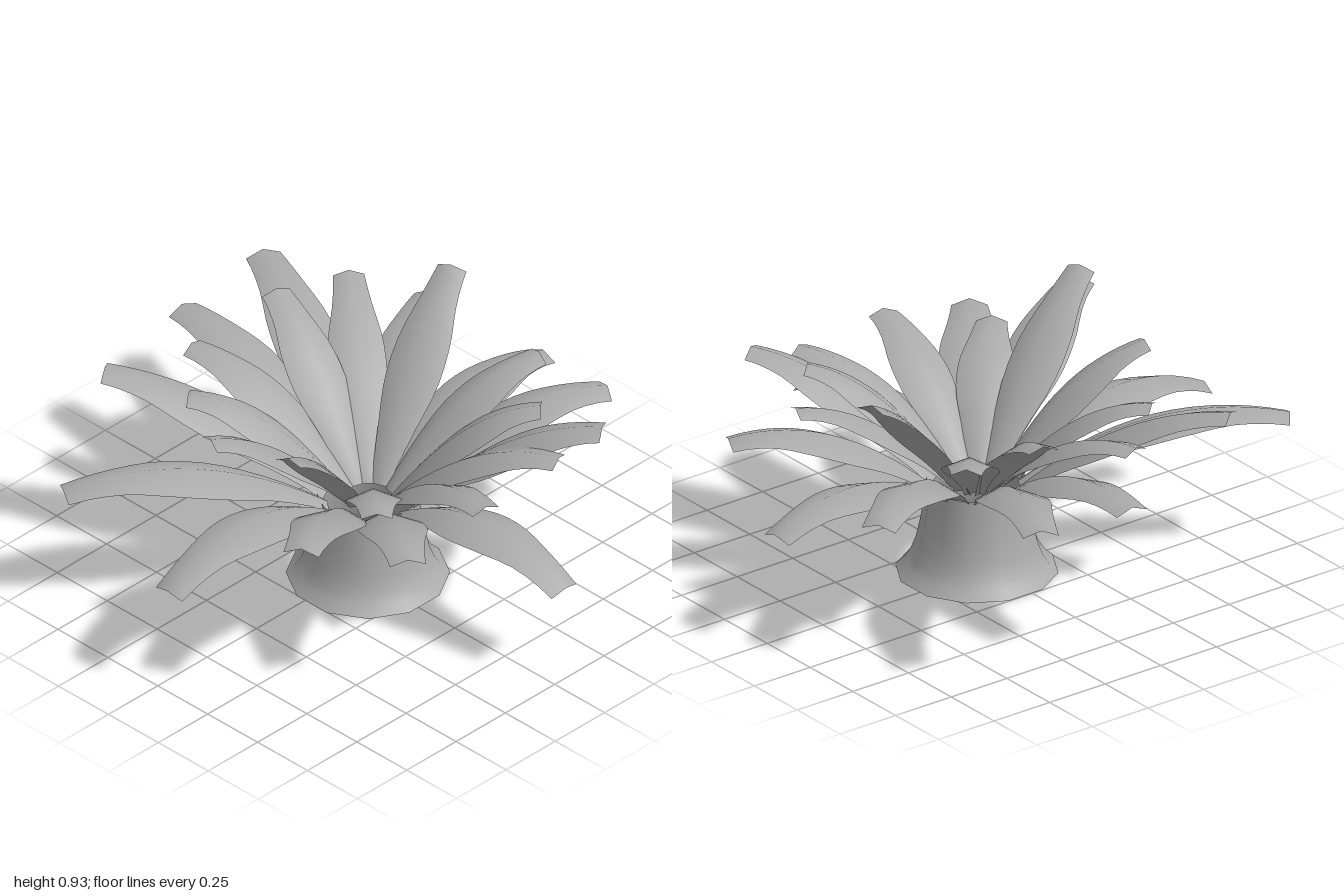
import * as THREE from 'three';

const CX = 0.04, CZ = -0.03;

// Leaf tips as [x, y, z, extra arch]
const OUTER = [
  [1.0, 0.39, -0.06, -0.015], [0.74, 0.65, 0.48, 0], [0.51, 0.74, 0.79, 0.02], [0.045, 0.435, 1.0, 0.03],
  [-0.54, 0.555, 0.935, 0], [-0.76, 0.762, 0.5, 0], [-0.965, 0.64, -0.1, 0], [-0.97, 0.67, -0.515, 0.02],
  [-0.445, 0.59, -0.845, 0.03], [-0.045, 0.445, -1.0, -0.02], [0.43, 0.6, -0.845, 0], [0.745, 0.745, -0.5, 0],
];
const INNER = [
  [0.725, 0.7, -0.3, 0], [0.5, 0.75, -0.435, 0], [0.25, 0.74, -0.68, 0], [-0.18, 0.912, -0.67, 0],
  [-0.565, 0.765, -0.54, 0], [-0.635, 0.797, -0.245, 0], [-0.7, 0.71, 0.12, 0], [-0.47, 0.725, 0.37, 0],
  [-0.145, 0.793, 0.585, 0], [0.265, 0.925, 0.61, 0], [0.505, 0.695, 0.4, 0], [0.765, 0.71, 0.11, 0],
];

// Half width from base to tip
const WIDTH = new THREE.SplineCurve([
  [0, 0.042], [0.2, 0.08], [0.4, 0.118], [0.6, 0.115], [0.8, 0.083], [1, 0.065],
].map(([t, w]) => new THREE.Vector2(t, w)));

// An arching strip, folded along a raised midrib
function leafGeometry([x, y, z, extraArch], baseRadius, widthScale) {
  const length = Math.hypot(x - CX, z - CZ);
  const dx = (x - CX) / length, dz = (z - CZ) / length;
  const bow = 0.37 - 0.25 * y + extraArch;
  const arc = new THREE.QuadraticBezierCurve(
    new THREE.Vector2(baseRadius, 0.335),
    new THREE.Vector2((baseRadius + length) / 2, (0.335 + y) / 2 + bow),
    new THREE.Vector2(length, y));
  const rows = 14, positions = [], index = [];
  for (let i = 0; i <= rows; i++) {
    const t = i / rows;
    const p = arc.getPoint(t), tan = arc.getTangent(t);
    const half = WIDTH.getPoint(t).y * widthScale;
    for (let j = -1; j <= 1; j++) {
      const drop = Math.abs(j) * half * 0.39;
      const r = p.x + tan.y * drop;
      positions.push(
        CX + dx * r - dz * half * j,
        p.y - tan.x * drop,
        CZ + dz * r + dx * half * j);
    }
    if (i === rows) continue;
    for (let j = 0; j < 2; j++) {
      const a = i * 3 + j, b = a + 1, c = a + 3, d = a + 4;
      index.push(a, b, c, b, d, c);
    }
  }
  const geometry = new THREE.BufferGeometry();
  geometry.setAttribute('position', new THREE.Float32BufferAttribute(positions, 3));
  geometry.setIndex(index);
  geometry.computeVertexNormals();
  return geometry;
}

export function createModel() {
  const model = new THREE.Group();
  model.name = 'plant';
  const grey = new THREE.MeshStandardMaterial({ color: 0xaaaaaa, side: THREE.DoubleSide });
  grey.name = 'grey';

  // Hollow flared trunk
  const profile = [
    [0.293, 0], [0.262, 0.03], [0.239, 0.065], [0.219, 0.115],
    [0.203, 0.19], [0.191, 0.27], [0.182, 0.345],
  ].map(([r, y]) => new THREE.Vector2(r, y));
  const trunk = new THREE.Mesh(new THREE.LatheGeometry(profile, 12, Math.PI / 12), grey);
  trunk.name = 'trunk';
  trunk.position.set(CX - 0.005, 0, CZ);
  model.add(trunk);

  // Two rings of leaves
  const addRing = (name, tips, baseRadius, widthScale) => {
    const ring = new THREE.Group();
    ring.name = name;
    for (const tip of tips) {
      const leaf = new THREE.Mesh(leafGeometry(tip, baseRadius, widthScale), grey);
      leaf.name = 'leaf';
      ring.add(leaf);
    }
    model.add(ring);
  };
  addRing('outerLeaves', OUTER, 0.15, 1);
  addRing('innerLeaves', INNER, 0.075, 0.86);

  return model;
}
